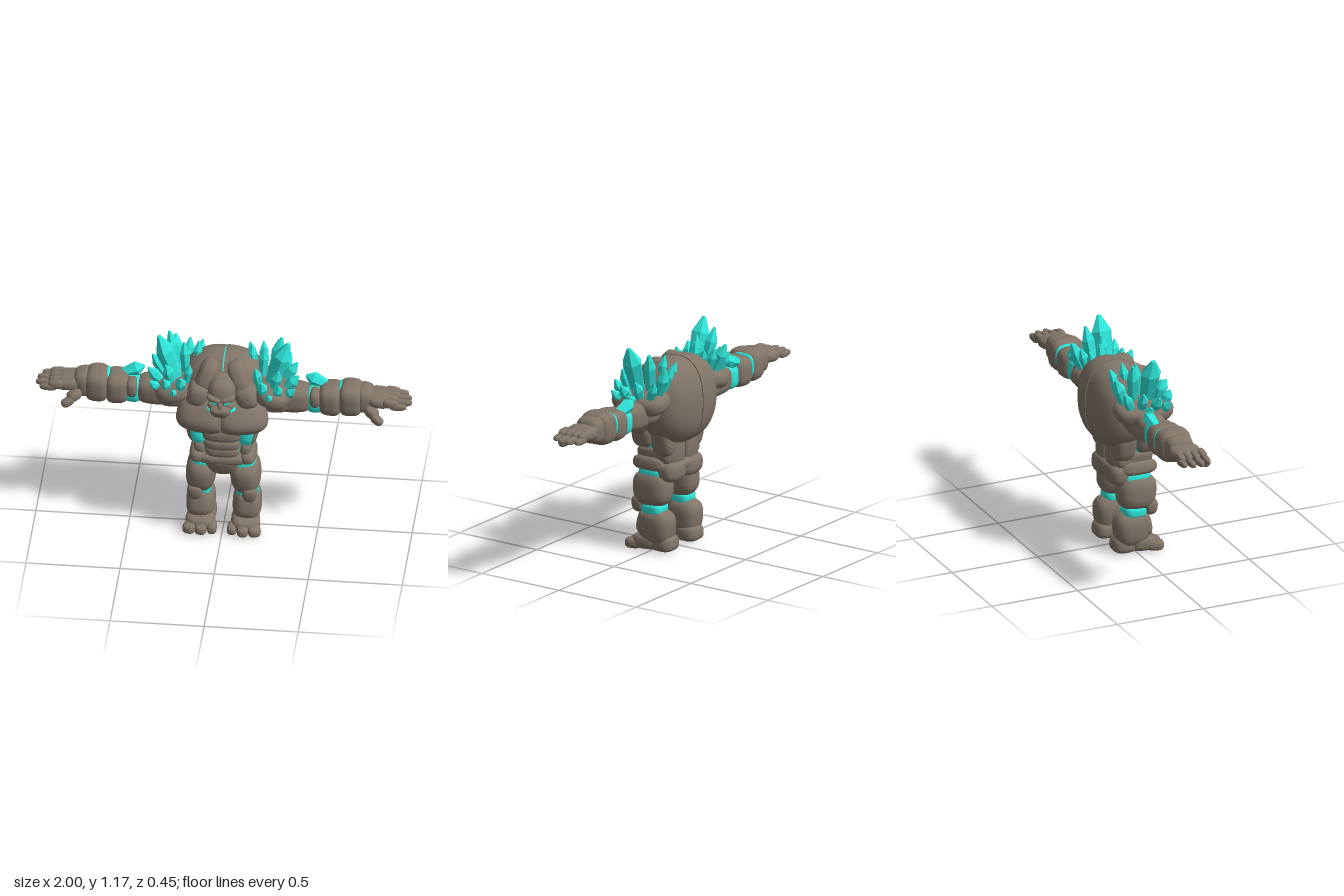
import * as THREE from 'three';
import { mergeVertices } from 'three/addons/utils/BufferGeometryUtils.js';

export function createModel() {
  const model = new THREE.Group();
  model.name = 'stoneGolem';
  const stone = new THREE.MeshStandardMaterial({ color: 0x827568 });
  stone.name = 'stone';
  const teal = new THREE.MeshStandardMaterial({ color: 0x2ee6da });
  teal.name = 'crystalTeal';

  const add = (name, geo, mat) => {
    const m = new THREE.Mesh(geo, mat);
    m.name = name;
    model.add(m);
  };

  // Mirrored copy across x with corrected face order
  const mirror = (geo) => {
    const g = geo.clone().scale(-1, 1, 1);
    const idx = g.index.array;
    for (let i = 0; i < idx.length; i += 3) [idx[i], idx[i + 1]] = [idx[i + 1], idx[i]];
    return g;
  };

  // Rounded boulder: superellipsoid, optionally reshaped by a rule in unit space
  const boulder = (c, r, { n = 2.8, rot = [0, 0, 0], fn = null, seam = 0 } = {}) => {
    let g = new THREE.SphereGeometry(1, 32, 22);
    g.deleteAttribute('uv');
    g.deleteAttribute('normal');
    g = mergeVertices(g, 1e-5);
    const p = g.attributes.position, v = new THREE.Vector3();
    for (let i = 0; i < p.count; i++) {
      v.fromBufferAttribute(p, i);
      const k = Math.abs(v.x) ** n + Math.abs(v.y) ** n + Math.abs(v.z) ** n;
      v.multiplyScalar(k ** (-1 / n));
      if (fn) fn(v);
      p.setXYZ(i, v.x, v.y, v.z);
    }
    g.scale(...r);
    g.applyMatrix4(new THREE.Matrix4().makeRotationFromEuler(new THREE.Euler(...rot)));
    g.translate(...c);
    // Flat inner face along the body's middle seam
    if (seam) for (let i = 0; i < p.count; i++) p.setX(i, Math.max(p.getX(i), seam));
    g.computeVertexNormals();
    return g;
  };
  const single = (name, c, r, o, mat = stone) => add(name, boulder(c, r, o), mat);
  const pair = (name, c, r, o, mat = stone) => {
    const g = boulder(c, r, o);
    add('left' + name, g, mat);
    add('right' + name, mirror(g), mat);
  };
  const taper = (t) => (v) => { v.x *= 1 + t * v.y; v.z *= 1 + t * v.y; };
  const taperX = (t) => (v) => { v.y *= 1 + t * v.x; v.z *= 1 + t * v.x; };

  // Blunt six-sided crystal from base point to tip
  const crystal = (name, base, tip, r, depth = 1) => {
    const a = new THREE.Vector3(...base), d = new THREE.Vector3(...tip).sub(a);
    const g = new THREE.CylinderGeometry(1, 1, 1, 6, 2);
    const p = g.attributes.position;
    for (let i = 0; i < p.count; i++) {
      const y = p.getY(i);
      const [w, h] = y > 0.1 ? [0.2, 1] : y < -0.1 ? [0.65, 0] : [1, 0.72];
      p.setXYZ(i, p.getX(i) * r * w, h * d.length(), p.getZ(i) * r * w * depth);
    }
    g.applyQuaternion(new THREE.Quaternion().setFromUnitVectors(new THREE.Vector3(0, 1, 0), d.normalize()));
    g.translate(a.x, a.y, a.z);
    const flat = (q) => { const f = q.toNonIndexed(); f.computeVertexNormals(); return f; };
    add('left' + name, flat(g), teal);
    add('right' + name, flat(mirror(g)), teal);
  };

  // Glowing core that shows in the seams
  single('backCore', [0, 0.82, -0.06], [0.2, 0.226, 0.157], { n: 2.4 }, teal);
  single('waistCore', [0, 0.57, 0], [0.142, 0.12, 0.1], { n: 3.5, fn: taper(0.08) }, teal);
  single('neckCore', [0, 0.8, 0.095], [0.1, 0.035, 0.07], {}, teal);

  // Torso
  single('chestCore', [0, 0.74, 0.02], [0.2, 0.1, 0.11], { n: 3 });
  pair('BackShell', [0, 0.82, -0.06], [0.24, 0.236, 0.165], { n: 2.4, seam: 0.004 });
  pair('Chest', [0.1, 0.735, 0.085], [0.142, 0.1, 0.095],
    { n: 2.7, rot: [-0.55, 0.18, 0.1], seam: 0.002, fn: taper(-0.05) });
  pair('Flank', [0.155, 0.765, -0.02], [0.078, 0.095, 0.12], { rot: [0, 0, -0.12] });
  pair('FrontRib', [0.137, 0.637, 0.06], [0.055, 0.074, 0.064], { n: 3, rot: [0, 0, -0.2] });
  pair('RibRim', [0.134, 0.637, 0.06], [0.045, 0.08, 0.071], { n: 3, rot: [0, 0, -0.2] }, teal);
  pair('BackRib', [0.122, 0.62, -0.058], [0.062, 0.095, 0.062], { n: 3.2, rot: [0, 0, -0.2] });
  pair('Oblique', [0.123, 0.527, 0.03], [0.032, 0.042, 0.075], { n: 3.2, rot: [0, 0, -0.12] });
  pair('BackOblique', [0.115, 0.535, -0.055], [0.038, 0.055, 0.05], { n: 3.2 });
  pair('Lumbar', [0.06, 0.55, -0.07], [0.075, 0.1, 0.05], { n: 3, seam: 0.005 });
  single('upperAbs', [0, 0.628, 0.088], [0.108, 0.042, 0.06], { n: 3 });
  single('middleAbs', [0, 0.565, 0.08], [0.1, 0.036, 0.057], { n: 3 });
  single('lowerAbs', [0, 0.515, 0.078], [0.092, 0.035, 0.05], { n: 3 });

  // Pelvis
  single('belt', [0, 0.465, 0], [0.172, 0.04, 0.13], { n: 3 });
  single('groin', [0, 0.425, 0.065], [0.09, 0.068, 0.058], { fn: taper(0.3) });
  pair('Buttock', [0.075, 0.44, -0.07], [0.088, 0.062, 0.064]);
  pair('HipPlate', [0.135, 0.475, 0.025], [0.042, 0.04, 0.1], { n: 3, rot: [0, 0, 0.2] });

  // Neck collar and head
  pair('Collar', [0.085, 0.94, 0.012], [0.058, 0.105, 0.095], { rot: [-0.35, 0, 0.35] });
  pair('LowerCollar', [0.13, 0.865, 0.065], [0.062, 0.07, 0.08], { rot: [0, 0, 0.3] });
  single('skull', [0, 0.89, 0.108], [0.074, 0.092, 0.074], { n: 2.5, rot: [-0.15, 0, 0], fn: taper(0.05) });
  single('crown', [0, 0.94, 0.07], [0.056, 0.048, 0.075], { rot: [0.35, 0, 0] });
  single('jaw', [0, 0.823, 0.165], [0.054, 0.034, 0.057], { n: 3, fn: taper(0.2) });
  single('nose', [0, 0.86, 0.188], [0.014, 0.022, 0.024], { rot: [-0.25, 0, 0] });
  pair('Brow', [0.034, 0.896, 0.165], [0.04, 0.014, 0.032], { n: 3, rot: [0, 0.25, 0.25] });
  pair('Cheek', [0.046, 0.85, 0.155], [0.024, 0.02, 0.03]);
  pair('Eye', [0.036, 0.875, 0.184], [0.018, 0.0065, 0.0045], { rot: [0, 0.35, 0.3] }, teal);

  // Shoulders
  pair('ShoulderPad', [0.265, 0.865, -0.01], [0.102, 0.062, 0.162], { rot: [0, 0, -0.25] });
  pair('Deltoid', [0.275, 0.815, -0.02], [0.09, 0.08, 0.1]);

  // Arms: each chunk is [name, x, y, half length, half height, half depth, taper]
  const arm = [
    ['UpperArm', 0.372, 0.81, 0.098, 0.074, 0.08, -0.05],
    ['Forearm', 0.565, 0.815, 0.064, 0.083, 0.09, 0.04],
    ['OuterForearm', 0.675, 0.825, 0.066, 0.088, 0.092, -0.02],
    ['Wrist', 0.755, 0.83, 0.045, 0.07, 0.075, -0.1],
  ];
  for (const [name, x, y, l, h, d, t] of arm) pair(name, [x, y, -0.025], [l, h, d], { n: 3.4, fn: taperX(t) });
  pair('ElbowCore', [0.485, 0.806, -0.025], [0.05, 0.068, 0.068], { n: 3.5 }, teal);
  pair('ElbowGuard', [0.487, 0.83, 0.005], [0.032, 0.05, 0.052], { n: 3 });
  pair('ForearmSeam', [0.62, 0.832, -0.04], [0.016, 0.068, 0.07], { n: 3 }, teal);
  crystal('ElbowCrystal', [0.565, 0.86, -0.055], [0.43, 0.915, -0.072], 0.038);

  // Hands
  pair('Palm', [0.825, 0.835, -0.025], [0.068, 0.036, 0.082], { n: 3, rot: [0, 0, -0.1] });
  [[0.042, 0.975], [0.0, 1], [-0.043, 0.995], [-0.083, 0.975]].forEach(([z, tip], i) => {
    pair('Knuckle' + (i + 1), [0.89, 0.84, z], [0.042, 0.024, 0.021], { n: 3, rot: [0, 0, -0.12] });
    pair('Fingertip' + (i + 1), [tip - 0.045, 0.825, z * 1.08], [0.045, 0.018, 0.018], { n: 3, fn: taperX(-0.1) });
  });
  pair('ThumbBase', [0.79, 0.79, 0.055], [0.04, 0.029, 0.032], { rot: [0, -0.6, -0.4] });
  pair('ThumbTip', [0.822, 0.764, 0.088], [0.036, 0.023, 0.024], { rot: [0, -0.5, -0.4] });

  // Legs
  pair('HipCore', [0.105, 0.42, 0.01], [0.068, 0.035, 0.085], { n: 3, rot: [0, 0, 0.15] }, teal);
  pair('Thigh', [0.118, 0.335, 0.015], [0.08, 0.1, 0.108], { rot: [0.06, 0, 0.08], fn: taper(0.05) });
  pair('KneeCore', [0.125, 0.23, 0], [0.06, 0.035, 0.063], { n: 3.5 }, teal);
  pair('KneePad', [0.145, 0.245, 0.085], [0.04, 0.045, 0.038], { fn: taper(0.12) });
  pair('Calf', [0.123, 0.132, -0.015], [0.076, 0.096, 0.096], { n: 3, rot: [-0.1, 0, 0] });
  pair('Shin', [0.128, 0.15, 0.04], [0.064, 0.075, 0.05], { n: 3, rot: [-0.2, 0, 0] });

  // Feet, splayed outward
  pair('Heel', [0.112, 0.046, -0.055], [0.068, 0.046, 0.066], { n: 3.2, fn: taper(-0.05) });
  pair('Instep', [0.12, 0.047, 0.045], [0.076, 0.047, 0.078],
    { n: 3, rot: [0, 0.15, 0], fn: (v) => { if (v.y > 0) v.y *= 1 - 0.25 * v.z; } });
  [[0.054, 0.095, 0.026], [0.11, 0.11, 0.031], [0.17, 0.105, 0.035]].forEach(([x, z, w], i) =>
    pair('Toe' + (i + 1), [x, 0.029, z], [w, 0.029, 0.046], { n: 3, rot: [0, (x - 0.07) * 2.5, 0] }));

  // Shoulder crystals: base, tip, radius, depth
  const cluster = [
    [[0.235, 0.87, 0.018], [0.345, 1.166, 0.014], 0.05, 1.15],
    [[0.235, 0.87, -0.055], [0.3, 1.135, -0.085], 0.036],
    [[0.2, 0.88, -0.02], [0.215, 1.105, -0.03], 0.03],
    [[0.16, 0.9, -0.05], [0.14, 1.09, -0.075], 0.026],
    [[0.25, 0.86, -0.095], [0.275, 1.062, -0.175], 0.035],
    [[0.205, 0.88, -0.1], [0.195, 1.055, -0.16], 0.027],
    [[0.16, 0.92, -0.09], [0.125, 1.06, -0.14], 0.024],
    [[0.3, 0.85, -0.08], [0.34, 1.0, -0.15], 0.027],
    [[0.295, 0.85, -0.04], [0.385, 1.0, -0.06], 0.03],
    [[0.3, 0.85, 0.02], [0.4, 0.97, 0.025], 0.03],
    [[0.26, 0.87, 0.055], [0.3, 1.03, 0.085], 0.031],
    [[0.2, 0.88, 0.05], [0.175, 1.03, 0.075], 0.025],
    [[0.22, 0.86, 0.085], [0.215, 0.99, 0.148], 0.03],
    [[0.28, 0.85, 0.08], [0.305, 0.965, 0.13], 0.027],
    [[0.31, 0.84, 0.06], [0.385, 0.93, 0.095], 0.024],
    [[0.32, 0.84, -0.02], [0.39, 0.92, -0.02], 0.024],
    [[0.25, 0.85, 0.11], [0.255, 0.92, 0.162], 0.02],
  ];
  cluster.forEach((c, i) => crystal('ShoulderCrystal' + (i + 1), ...c));

  return model;
}
